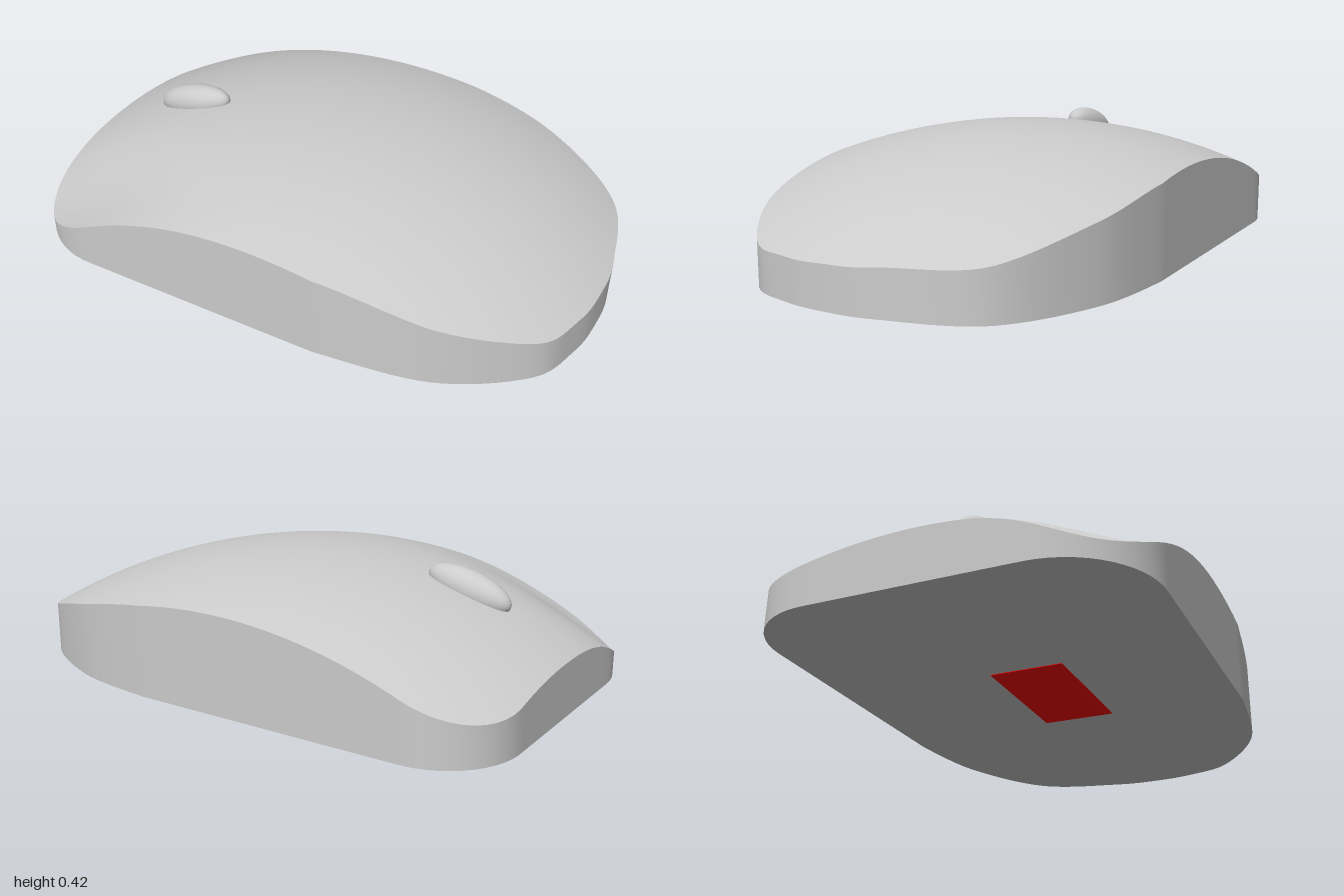
import * as THREE from 'three';

const GREY = new THREE.MeshStandardMaterial({ color: 0xcccccc });
const RED = new THREE.MeshStandardMaterial({ color: 0xff0000 });
const FLOOR = 0.004; // underside height, just above the sensor lens
const CENTRE = new THREE.Vector2(0.02, -0.056); // crown of the dome

// Plan outline: rounded front corners at -x, full rounded palm end at +x
function outline() {
  const s = new THREE.Shape();
  s.moveTo(0.28, 0.58);
  s.lineTo(-0.6, 0.58);
  s.absarc(-0.6, 0.275, 0.305, Math.PI / 2, Math.PI, false);
  s.lineTo(-0.905, -0.41);
  s.absarc(-0.655, -0.41, 0.25, Math.PI, Math.PI * 1.5, false);
  s.lineTo(0.29, -0.66);
  const back = [[0.6, -0.605], [0.9, -0.428], [1.0, -0.134], [1.012, 0.04],
    [0.99, 0.19], [0.914, 0.354], [0.65, 0.52], [0.28, 0.58]];
  s.splineThru(back.map(([x, z]) => new THREE.Vector2(x, z)));
  return s.getSpacedPoints(160).slice(0, -1);
}

// Shallow spherical dome, dipping at one front corner
function domeHeight(x, z) {
  const r = Math.hypot(x - CENTRE.x, z - CENTRE.y);
  const dip = 0.07 * Math.exp(-(((x + 0.82) / 0.3) ** 2 + ((z - 0.5) / 0.15) ** 2) / 2);
  return 0.42 - (2 - Math.sqrt(4 - r * r)) - 0.015 * r ** 4 - dip;
}

// Joins closed rings of points into a surface
function skin(rings) {
  const n = rings[0].length, index = [];
  for (let i = 0; i < rings.length - 1; i++) {
    for (let j = 0; j < n; j++) {
      const k = (j + 1) % n;
      const a = i * n + j, b = i * n + k, c = a + n, d = b + n;
      index.push(a, b, c, b, d, c);
    }
  }
  const g = new THREE.BufferGeometry().setFromPoints(rings.flat());
  g.setIndex(index);
  g.computeVertexNormals();
  return g;
}

export function createModel() {
  const model = new THREE.Group();
  model.name = 'computerMouse';
  const body = new THREE.Group();
  body.name = 'body';
  body.rotation.y = THREE.MathUtils.degToRad(20);
  model.add(body);

  const add = (name, geometry, material = GREY) => {
    const mesh = new THREE.Mesh(geometry, material);
    mesh.name = name;
    body.add(mesh);
    return mesh;
  };

  const edge = outline();
  // The outline shrunk towards the crown, at a height given by a rule
  const ring = (t, height) => edge.map((p) => {
    const q = CENTRE.clone().lerp(p, t);
    return new THREE.Vector3(q.x, height(q.x, q.y), q.y);
  });
  const floor = () => FLOOR;

  // Domed top shell
  const steps = 24, rings = [];
  for (let i = 0; i <= steps; i++) rings.push(ring(Math.max(i / steps, 0.0005), domeHeight));
  add('topShell', skin(rings));

  // Upright side wall and flat underside
  add('sideWall', skin([ring(1, domeHeight), ring(1, floor)]));
  add('underside', skin([ring(1, floor), ring(0.0005, floor)]));

  // Scroll wheel: a long ellipsoid lying along the slope
  const wheel = add('scrollWheel', new THREE.SphereGeometry(1, 32, 24));
  wheel.scale.set(0.15, 0.06, 0.056);
  wheel.position.set(-0.543, 0.343, -0.028);
  wheel.rotation.z = 0.29;

  // Red sensor window with a small lens
  const sensor = add('sensorWindow', new THREE.BoxGeometry(0.47, 0.02, 0.25), RED);
  sensor.position.set(-0.02, 0.012, 0);
  const lens = add('sensorLens', new THREE.SphereGeometry(1, 24, 16), RED);
  lens.scale.set(0.1, 0.02, 0.06);
  lens.position.set(-0.03, 0.02, 0);

  return model;
}
